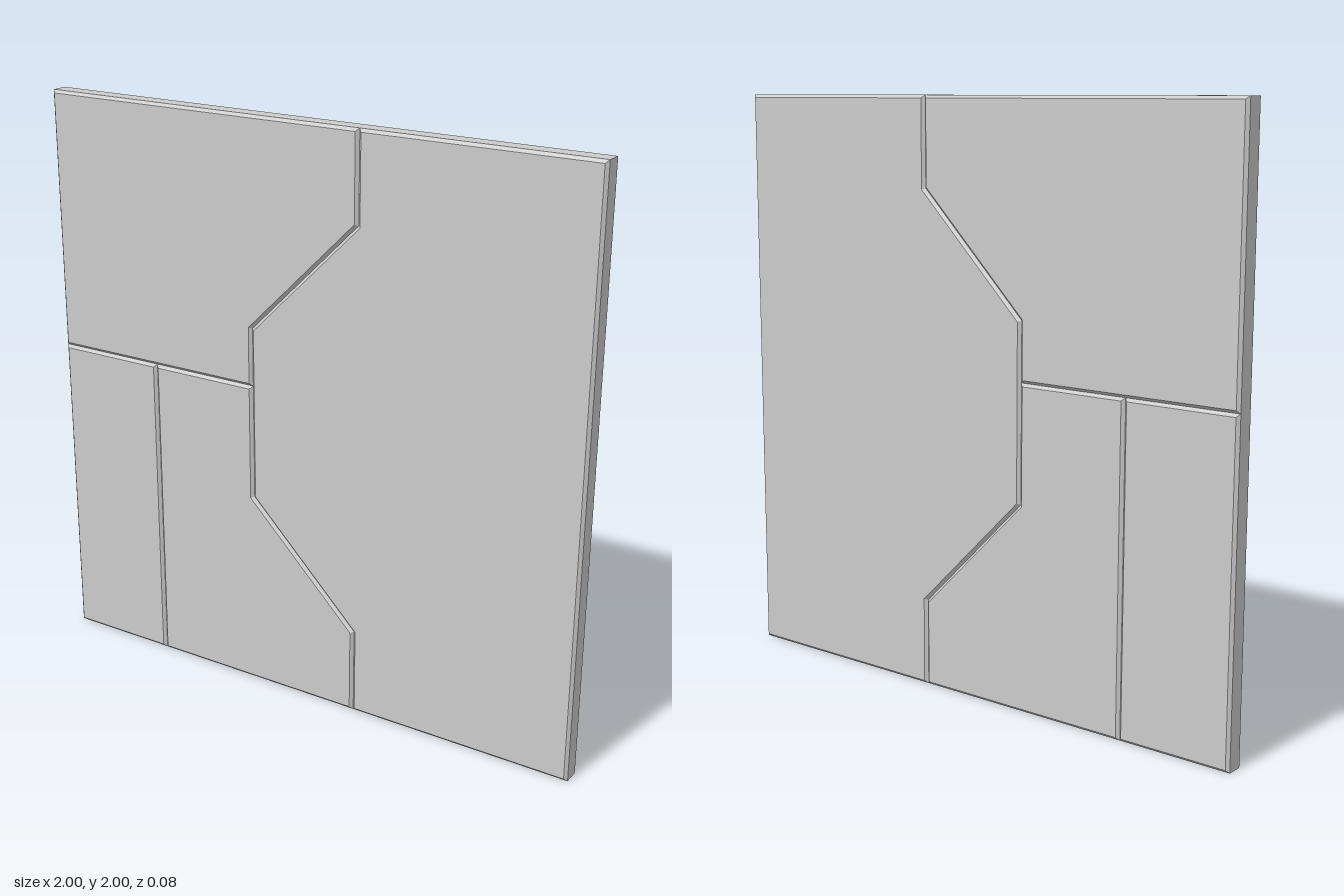
import * as THREE from 'three';

const THICKNESS = 0.075;
const BEVEL = 0.01;

// Outlines of the interlocking panels, counter-clockwise in x, y
const PANELS = {
  rightNotchedPanel: [[0.2, 0], [1, 0], [1, 2], [0.2, 2], [0.2, 1.7], [-0.2, 1.3], [-0.2, 0.7], [0.2, 0.3]],
  upperPanel: [[-1, 1.1], [-0.2, 1.1], [-0.2, 1.3], [0.2, 1.7], [0.2, 2], [-1, 2]],
  lowerNarrowPanel: [[-1, 0], [-0.6, 0], [-0.6, 1.1], [-1, 1.1]],
  lowerMiddlePanel: [[-0.6, 0], [0.2, 0], [0.2, 0.3], [-0.2, 0.7], [-0.2, 1.1], [-0.6, 1.1]],
};

// A flat slab with chamfered edges front and back, centred on z = 0
function slab(points) {
  const shape = new THREE.Shape(points.map(([x, y]) => new THREE.Vector2(x, y)));
  const depth = THICKNESS - 2 * BEVEL;
  const geometry = new THREE.ExtrudeGeometry(shape, {
    depth,
    bevelEnabled: true,
    bevelSegments: 1,
    bevelSize: BEVEL,
    bevelThickness: BEVEL,
    bevelOffset: -BEVEL,
  });
  return geometry.translate(0, 0, -depth / 2);
}

export function createModel() {
  const group = new THREE.Group();
  group.name = 'wallPanel';
  const material = new THREE.MeshStandardMaterial({ color: 0xcccccc, flatShading: true });
  for (const [name, points] of Object.entries(PANELS)) {
    const mesh = new THREE.Mesh(slab(points), material);
    mesh.name = name;
    group.add(mesh);
  }
  return group;
}
